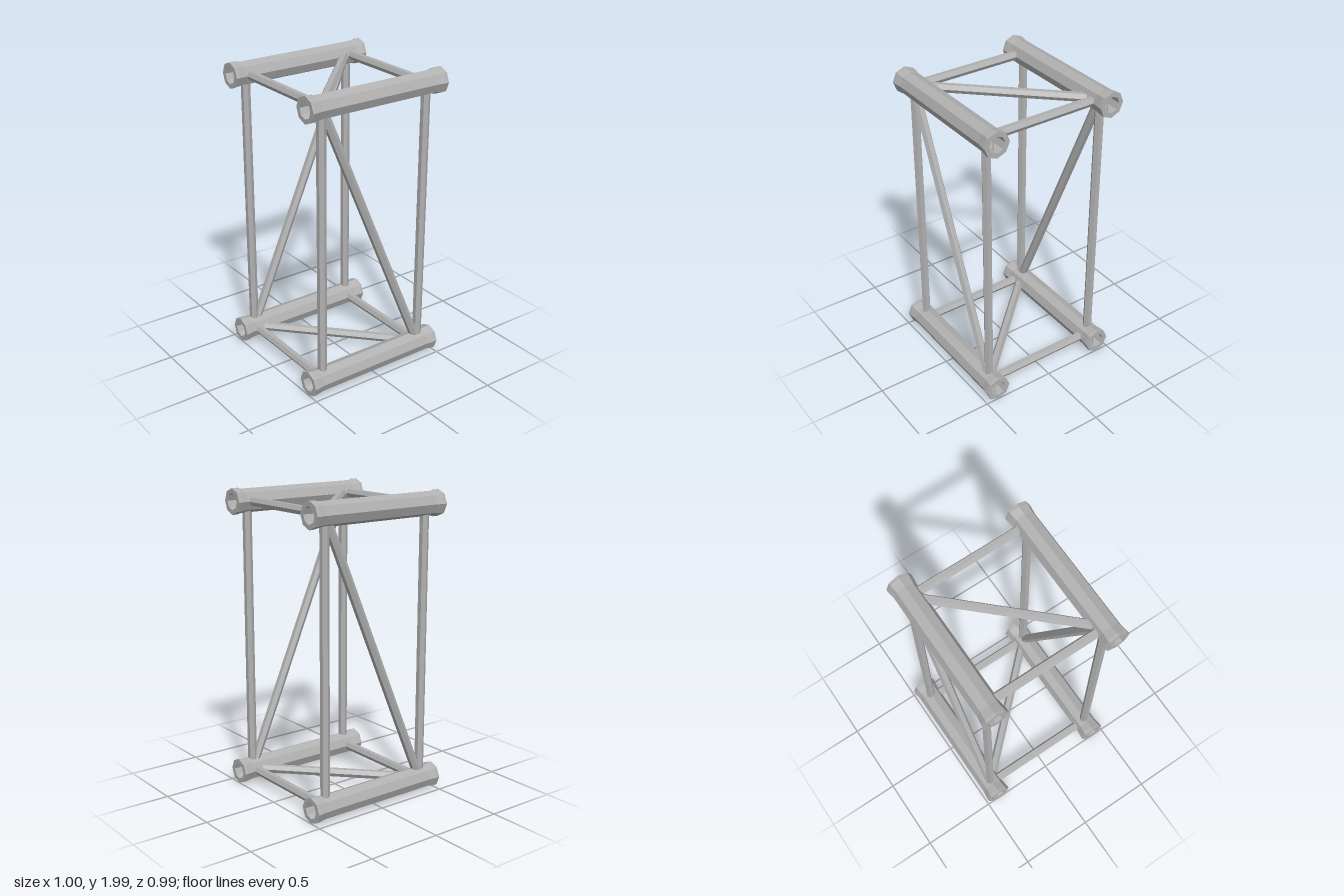
import * as THREE from 'three';

const CHORD_Z = 0.41, STRUT_X = 0.39, LOW_Y = 0.095, HIGH_Y = 1.915;
const CHORD_R = 0.077, END_R = 0.085, BORE_R = 0.054, STRUT_R = 0.03;
const INSET = 0.062; // struts stop inside the chord wall

export function createModel() {
  const model = new THREE.Group();
  model.name = 'trussFrame';
  const steel = new THREE.MeshStandardMaterial({ color: 0xb0b0b0 });
  steel.name = 'steel grey';
  steel.flatShading = true;

  const add = (name, geometry, parent = model) => {
    const mesh = new THREE.Mesh(geometry, steel);
    mesh.name = name;
    parent.add(mesh);
    return mesh;
  };

  // Hollow octagonal chord with flared ends, lying along x
  const profile = [
    [BORE_R, -0.5], [END_R, -0.5], [END_R, -0.48], [CHORD_R, -0.425],
    [CHORD_R, 0.425], [END_R, 0.48], [END_R, 0.5], [BORE_R, 0.5], [BORE_R, -0.5],
  ].map(([r, y]) => new THREE.Vector2(r, y));
  const chordGeometry = new THREE.LatheGeometry(profile, 8).rotateZ(-Math.PI / 2);
  const pinGeometry = new THREE.CylinderGeometry(0.004, 0.004, 0.168, 6);

  for (const y of [LOW_Y, HIGH_Y]) {
    for (const z of [-CHORD_Z, CHORD_Z]) {
      const chord = new THREE.Group();
      chord.name = 'chord';
      chord.position.set(0, y, z);
      add('chordTube', chordGeometry, chord);
      for (const x of [-0.46, 0.46]) add('lockingPin', pinGeometry, chord).position.x = x;
      model.add(chord);
    }
  }

  // Hexagonal strut between two chord axes, its ends cut parallel to the chords
  function strut(name, from, to, axis) {
    const a = new THREE.Vector3(...from), b = new THREE.Vector3(...to);
    const dir = b.clone().sub(a).normalize();
    const ridge = axis === 'y' ? new THREE.Vector3(0, 0, 1)
      : dir.clone().cross(new THREE.Vector3(0, 1, 0)).normalize();
    const side = dir.clone().cross(ridge);
    const geometry = new THREE.CylinderGeometry(STRUT_R, STRUT_R, a.distanceTo(b), 6);
    const middle = a.clone().add(b).multiplyScalar(0.5);
    geometry.applyMatrix4(new THREE.Matrix4().makeBasis(side, dir, ridge).setPosition(middle));
    const sign = Math.sign(b[axis] - a[axis]);
    const position = geometry.attributes.position;
    const v = new THREE.Vector3();
    for (let i = 0; i < position.count; i++) {
      v.fromBufferAttribute(position, i);
      const atStart = v.distanceTo(a) < v.distanceTo(b);
      const target = atStart ? a[axis] + sign * INSET : b[axis] - sign * INSET;
      v.addScaledVector(dir, (target - v[axis]) / dir[axis]);
      position.setXYZ(i, v.x, v.y, v.z);
    }
    geometry.computeVertexNormals();
    add(name, geometry);
  }

  // Uprights and cross bars
  for (const x of [-STRUT_X, STRUT_X]) {
    for (const z of [-CHORD_Z, CHORD_Z]) strut('upright', [x, LOW_Y, z], [x, HIGH_Y, z], 'y');
    for (const y of [LOW_Y, HIGH_Y]) strut('crossBar', [x, y, -CHORD_Z], [x, y, CHORD_Z], 'z');
  }

  // Diagonal braces on front, back, top and bottom
  strut('frontBrace', [STRUT_X, LOW_Y, CHORD_Z], [-STRUT_X, HIGH_Y, CHORD_Z], 'y');
  strut('backBrace', [-STRUT_X, LOW_Y, -CHORD_Z], [STRUT_X, HIGH_Y, -CHORD_Z], 'y');
  strut('topBrace', [STRUT_X, HIGH_Y, -CHORD_Z], [-STRUT_X, HIGH_Y, CHORD_Z], 'z');
  strut('bottomBrace', [-STRUT_X, LOW_Y, -CHORD_Z], [STRUT_X, LOW_Y, CHORD_Z], 'z');

  return model;
}
